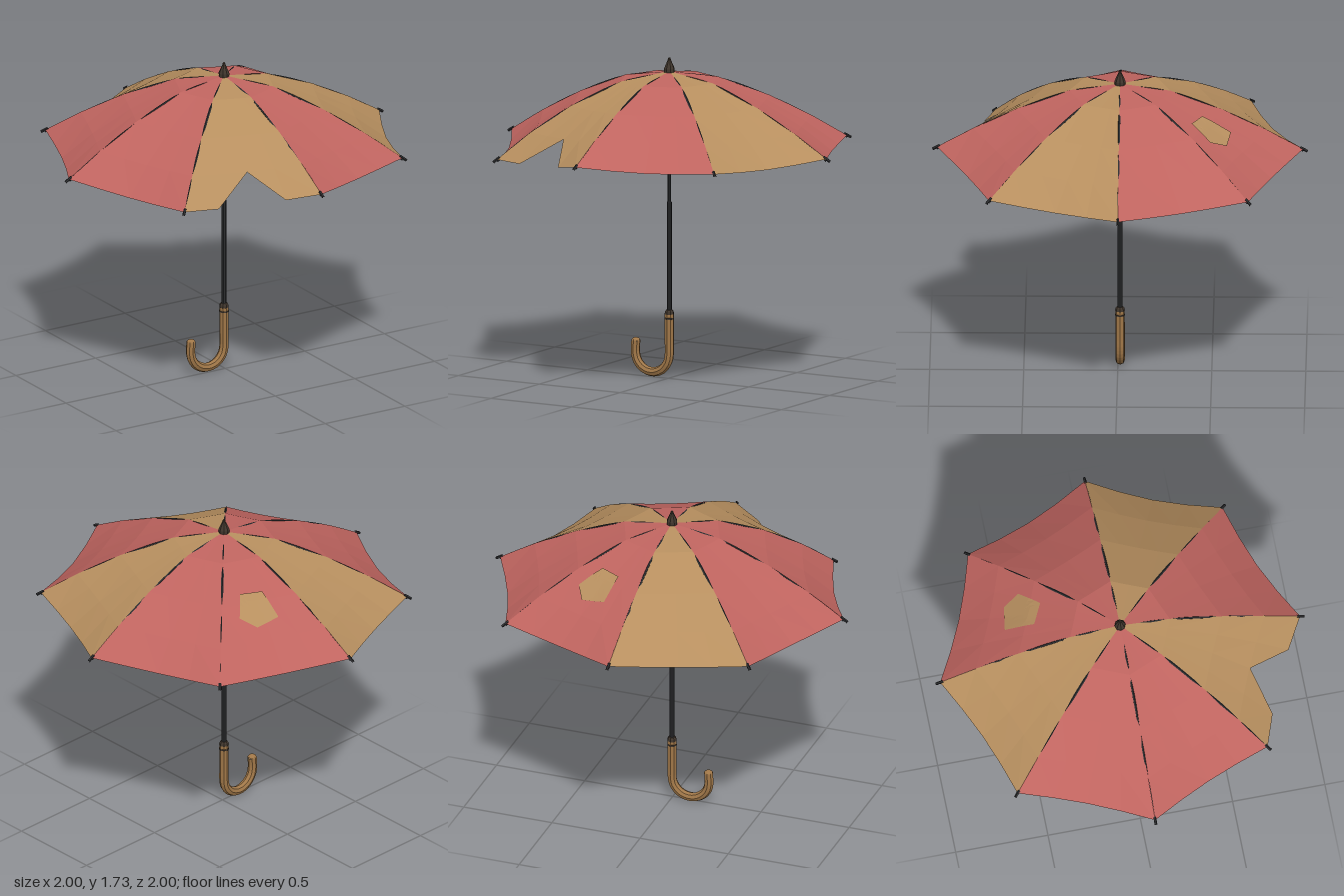
import * as THREE from 'three';

const mat = (name, color, opts = {}) => {
  const m = new THREE.MeshStandardMaterial({ color, ...opts });
  m.name = name;
  return m;
};

const V = (x, y, z) => new THREE.Vector3(x, y, z);

export function createModel() {
  const red = mat('fadedRed', 0xbf645f, { side: THREE.DoubleSide, flatShading: true });
  const tan = mat('tanCloth', 0xb78f5f, { side: THREE.DoubleSide, flatShading: true });
  const metal = mat('darkMetal', 0x2b2c2e, { flatShading: true });
  const wood = mat('wood', 0xa07748, { flatShading: true });
  const brown = mat('darkBrown', 0x40362d, { flatShading: true });

  const group = new THREE.Group();
  const umbrella = new THREE.Group();
  umbrella.name = 'umbrella';
  umbrella.position.z = -0.012;
  group.add(umbrella);
  const add = (name, geometry, material, parent = umbrella) => {
    const mesh = new THREE.Mesh(geometry, material);
    mesh.name = name;
    parent.add(mesh);
    return mesh;
  };
  const rod = (name, a, b, radius, material) =>
    add(name, new THREE.TubeGeometry(new THREE.LineCurve3(a, b), 1, radius, 5), material);
  const lathe = (name, pts, material, sides = 8) =>
    add(name, new THREE.LatheGeometry(pts.map(p => new THREE.Vector2(...p)), sides), material);

  // Rib rule: rib 0 points back, then clockwise seen from above
  const rows = [[0.012, 1.656], [0.27, 1.617], [0.55, 1.507], [0.78, 1.39], [0.975, 1.275]];
  const tipY = [1.285, 1.27, 1.272, 1.27, 1.288, 1.222, 1.26, 1.27];
  const ribPoint = (i, k) => {
    const n = i % 8, a = n * Math.PI / 4, f = k / 4;
    const r = rows[k][0] * (n === 5 ? 1 - 0.03 * f : 1);
    const y = rows[k][1] + (tipY[n] - 1.275) * f * f;
    return V(Math.sin(a) * r, y, -Math.cos(a) * r);
  };

  // Canopy panels, sagging between the ribs; panel 4 has a torn notch
  const cols = 4;
  const panelGeometry = i => {
    const grid = rows.map((_, k) => {
      const line = [];
      for (let c = 0; c <= cols; c++) {
        const t = c / cols, s = Math.sin(Math.PI * t) * (k / 4) ** 2;
        const p = ribPoint(i, k).lerp(ribPoint(i + 1, k), t);
        p.x *= 1 - 0.028 * s;
        p.z *= 1 - 0.028 * s;
        p.y -= 0.02 * s;
        line.push(p);
      }
      return line;
    });
    if (i === 4) grid[4][2].copy(grid[3][2]).add(V(0, -0.002, 0.004));
    const pos = [];
    for (let k = 0; k < 4; k++) {
      for (let c = 0; c < cols; c++) {
        const a = grid[k][c], b = grid[k][c + 1], d = grid[k + 1][c], e = grid[k + 1][c + 1];
        // Turn the diagonal beside the tear so both flaps stay whole
        const tris = i === 4 && k === 3 && c === 2 ? [a, b, e, a, e, d] : [a, b, d, b, e, d];
        tris.forEach(p => pos.push(p.x, p.y, p.z));
      }
    }
    const g = new THREE.BufferGeometry();
    g.setAttribute('position', new THREE.Float32BufferAttribute(pos, 3));
    g.computeVertexNormals();
    return g;
  };
  const canopy = new THREE.Group();
  canopy.name = 'canopy';
  umbrella.add(canopy);
  const panels = [red, red, tan, red, tan, red, red, tan].map((m, i) =>
    add('canopyPanel' + i, panelGeometry(i), m, canopy));

  // Sewn patch, draped over the first panel
  const corners = [[0.166, -0.592], [0.30, -0.571], [0.348, -0.485], [0.25, -0.384], [0.14, -0.438]];
  const mid = [0.242, -0.494], steps = 4, rings = 4, ray = new THREE.Raycaster();
  const drape = (x, z) => {
    ray.set(V(x, 3, z), V(0, -1, 0));
    const hit = ray.intersectObject(new THREE.Mesh(panels[0].geometry, red))[0];
    return [x, (hit ? hit.point.y : 1.5) + 0.007, z];
  };
  const outline = [];
  corners.forEach((p, j) => {
    const q = corners[(j + 1) % corners.length];
    for (let s = 0; s < steps; s++) outline.push([0, 1].map(n => p[n] + (q[n] - p[n]) * s / steps));
  });
  const patchPos = [], patchIndex = [], n = outline.length;
  for (let r = 0; r <= rings; r++) {
    outline.forEach(p => patchPos.push(...drape(...[0, 1].map(m => mid[m] + (p[m] - mid[m]) * r / rings))));
  }
  for (let r = 0; r < rings; r++) {
    for (let j = 0; j < n; j++) {
      const a = r * n + j, b = r * n + (j + 1) % n;
      patchIndex.push(a, b + n, a + n);
      if (r > 0) patchIndex.push(a, b, b + n);
    }
  }
  const patch = new THREE.BufferGeometry();
  patch.setAttribute('position', new THREE.Float32BufferAttribute(patchPos, 3));
  patch.setIndex(patchIndex);
  patch.computeVertexNormals();
  add('patch', patch, tan, canopy);

  // Ribs, rib tips and stretchers
  for (let i = 0; i < 8; i++) {
    const pts = rows.map((_, k) => ribPoint(i, k).add(V(0, -0.009, 0)));
    const curve = new THREE.CatmullRomCurve3(pts);
    add('rib', new THREE.TubeGeometry(curve, 20, 0.007, 5), metal);
    const tip = ribPoint(i, 4), dir = tip.clone().sub(ribPoint(i, 3)).normalize();
    rod('ribTip', tip.clone().addScaledVector(dir, -0.02), tip.clone().addScaledVector(dir, 0.025), 0.008, metal);
    const joint = ribPoint(i, 2).lerp(ribPoint(i, 3), 0.45).add(V(0, -0.012, 0));
    const out = V(joint.x, 0, joint.z).normalize().multiplyScalar(0.02);
    rod('stretcher', out.setY(1.215), joint, 0.006, metal);
  }

  // Telescoping shaft, sliding runner, hub and finial
  lathe('shaft', [[0.0135, 0.34], [0.0135, 0.95], [0.0105, 0.955], [0.0105, 1.66]], metal);
  lathe('runner', [[0.01, 1.178], [0.025, 1.18], [0.026, 1.225], [0.019, 1.23], [0.019, 1.258], [0.01, 1.26]], brown);
  lathe('hub', [[0.01, 1.6], [0.026, 1.602], [0.026, 1.64], [0.01, 1.645]], brown);
  lathe('finial', [[0.0, 1.645], [0.028, 1.648], [0.029, 1.672], [0.022, 1.69], [0.009, 1.718], [0.006, 1.73], [0, 1.731]], brown);

  // Crook handle with rounded end and collar
  const R = 0.105, cy = 0.13;
  const path = [V(0, 0.35, 0), V(0, 0.27, 0), V(0, 0.19, 0)];
  for (let j = 0; j <= 8; j++) {
    const a = -j * Math.PI / 8;
    path.push(V(-R + Math.cos(a) * R, cy + Math.sin(a) * R, 0));
  }
  path.push(V(-0.207, 0.185, 0));
  add('handle', new THREE.TubeGeometry(new THREE.CatmullRomCurve3(path), 32, 0.025, 8), wood);
  const end = add('handleEnd', new THREE.SphereGeometry(0.025, 8, 4, 0, Math.PI * 2, 0, Math.PI / 2), wood);
  end.position.set(-0.207, 0.185, 0);
  end.scale.y = 0.7;
  lathe('handleBand', [[0.024, 0.318], [0.027, 0.319], [0.027, 0.327], [0.024, 0.328]], brown);
  lathe('handleCollar', [[0.024, 0.345], [0.026, 0.346], [0.024, 0.36], [0.018, 0.369], [0.01, 0.37]], brown);

  return group;
}
